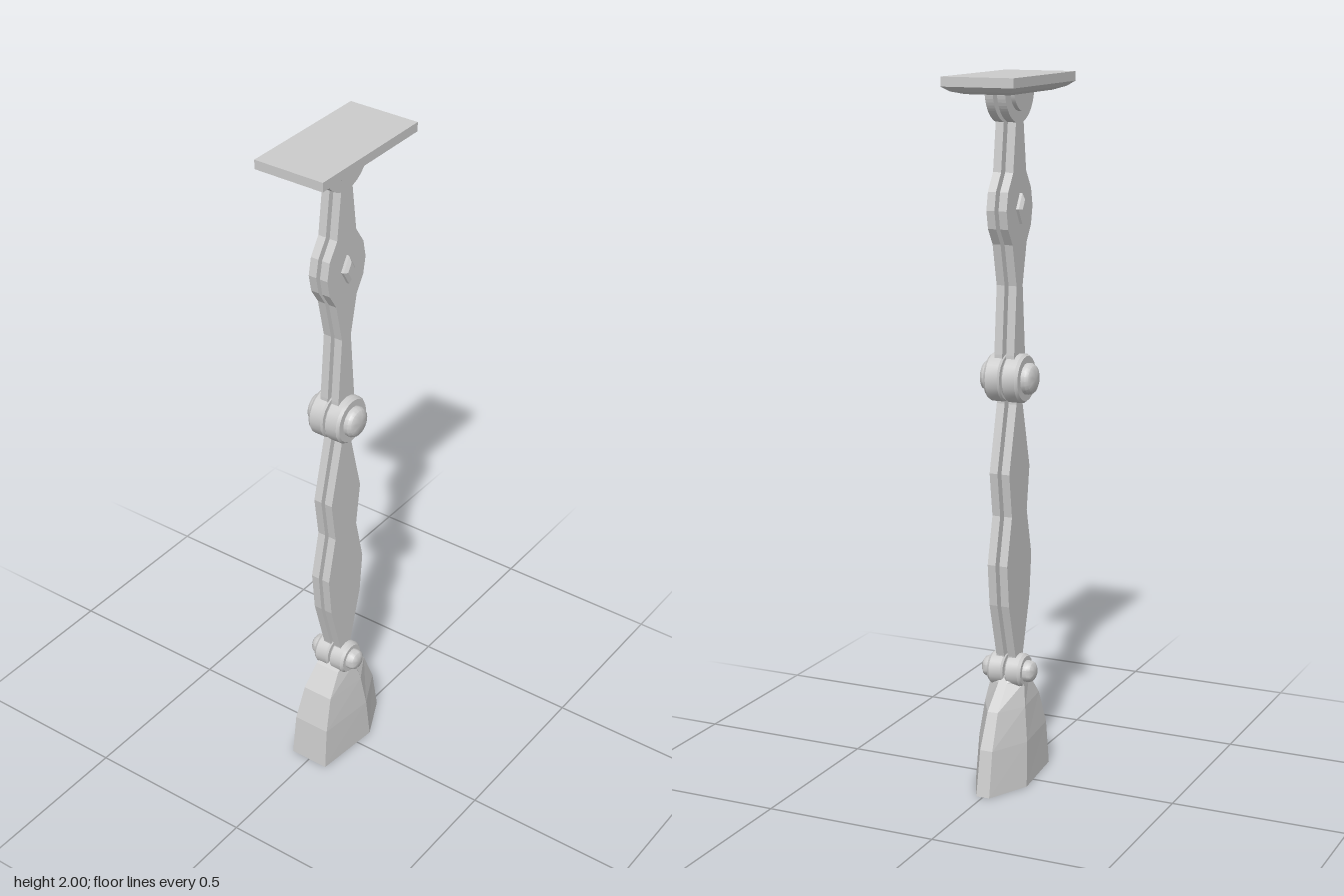
import * as THREE from 'three';
import { toCreasedNormals } from 'three/addons/utils/BufferGeometryUtils.js';

const material = new THREE.MeshStandardMaterial({ color: 0xcccccc });

// Flat-faced solid through rings of [x, y, z], each counter-clockwise from above, bottom to top
function loft(rings) {
  const v = [];
  const n = rings[0].length;
  const tri = (a, b, c) => v.push(...a, ...b, ...c);
  for (let i = 0; i < rings.length - 1; i++) {
    for (let j = 0; j < n; j++) {
      const k = (j + 1) % n;
      const [a, b, c, d] = [rings[i][j], rings[i][k], rings[i + 1][k], rings[i + 1][j]];
      tri(a, b, c);
      tri(a, c, d);
    }
  }
  const low = rings[0], top = rings[rings.length - 1];
  for (let j = 1; j < n - 1; j++) {
    tri(low[0], low[j + 1], low[j]);
    tri(top[0], top[j], top[j + 1]);
  }
  const g = new THREE.BufferGeometry();
  g.setAttribute('position', new THREE.Float32BufferAttribute(v, 3));
  g.computeVertexNormals();
  return g;
}

// Symmetric outline from [halfWidth, y] pairs listed upwards
function mirroredShape(side) {
  const pts = side.map(([x, y]) => new THREE.Vector2(x, y));
  side.slice().reverse().forEach(([x, y]) => pts.push(new THREE.Vector2(-x, y)));
  return new THREE.Shape(pts);
}

export function createModel() {
  const model = new THREE.Group();

  function add(name, geometry, parent = model) {
    const mesh = new THREE.Mesh(geometry, material);
    mesh.name = name;
    parent.add(mesh);
    return mesh;
  }

  // The same flat plate on the front and back, with a slot between them
  function platePair(name, shape, z0, z1) {
    for (const z of [z0, -z1]) {
      const g = new THREE.ExtrudeGeometry(shape, { depth: z1 - z0, bevelEnabled: false, curveSegments: 16 });
      g.translate(0, 0, z);
      add(name, g);
    }
  }

  // Turned joint: a disc and a domed pin cap on each side
  function joint(name, y, r, capR) {
    const group = new THREE.Group();
    group.name = name;
    group.position.y = y;
    model.add(group);
    const profile = [
      [0, 0.003], [r - 0.005, 0.003], [r, 0.008], [r, 0.044], [r - 0.006, 0.052], [capR, 0.052],
      [capR, 0.064], [capR * 0.88, 0.073], [capR * 0.6, 0.079], [0, 0.081],
    ].map(([a, b]) => new THREE.Vector2(a, b));
    for (const s of [1, -1]) {
      const g = new THREE.LatheGeometry(profile, 20).rotateX(s * Math.PI / 2);
      add(name + 'Half', toCreasedNormals(g, 0.6), group);
    }
  }

  // Top plate with a sloped underside
  const rect = (y, x, z) => [[x, y, z], [x, y, -z], [-x, y, -z], [-x, y, z]];
  add('topPlate', loft([
    rect(1.952, 0.14, 0.065), rect(1.961, 0.185, 0.088), rect(1.974, 0.205, 0.105), rect(2, 0.205, 0.105),
  ]));

  // Half-round bracket under the plate
  const halfDisc = (r) => {
    const s = new THREE.Shape();
    s.absarc(0, 1.965, r, Math.PI, Math.PI * 2, false);
    return s;
  };
  platePair('bracketPlate', halfDisc(0.095), 0.006, 0.03);
  platePair('bracketBoss', halfDisc(0.063), 0.03, 0.042);

  // Arms
  platePair('upperArm', mirroredShape([
    [0.037, 1.19], [0.036, 1.24], [0.02, 1.43], [0.046, 1.545], [0.075, 1.59],
    [0.085, 1.64], [0.075, 1.69], [0.042, 1.74], [0.024, 1.88], [0.022, 1.91],
  ]), 0.006, 0.03);
  platePair('lowerArm', mirroredShape([
    [0.022, 0.33], [0.025, 0.37], [0.07, 0.53], [0.082, 0.65], [0.05, 0.785],
    [0.068, 0.91], [0.02, 1.1], [0.018, 1.16],
  ]), 0.006, 0.03);

  // Raised diamond studs on the upper arm
  const diamond = (y, k) => [[0.025 * k, y, 0], [0, y, -0.042 * k], [-0.025 * k, y, 0], [0, y, 0.042 * k]];
  for (const s of [1, -1]) {
    const g = loft([diamond(0.028, 1), diamond(0.038, 1), diamond(0.046, 0.6)]);
    add('diamondStud', g.rotateX(s * Math.PI / 2).translate(0, 1.64, 0));
  }

  // Joints
  joint('kneeJoint', 1.172, 0.069, 0.044);
  joint('ankleJoint', 0.325, 0.049, 0.031);

  // Foot: six-sided, [y, back x, front x, ridge x, ridge half depth]
  add('foot', loft([
    [0, -0.145, 0.182, 0.058, 0.08],
    [0.13, -0.132, 0.158, 0.045, 0.075],
    [0.23, -0.1, 0.115, 0.032, 0.063],
    [0.295, -0.05, 0.05, 0.015, 0.052],
    [0.325, -0.02, 0.02, 0.005, 0.046],
  ].map(([y, b, f, m, d]) => [
    [f, y, d * 0.25], [f, y, -d * 0.25], [m, y, -d],
    [b, y, -d * 0.75], [b, y, d * 0.75], [m, y, d],
  ])));

  return model;
}
